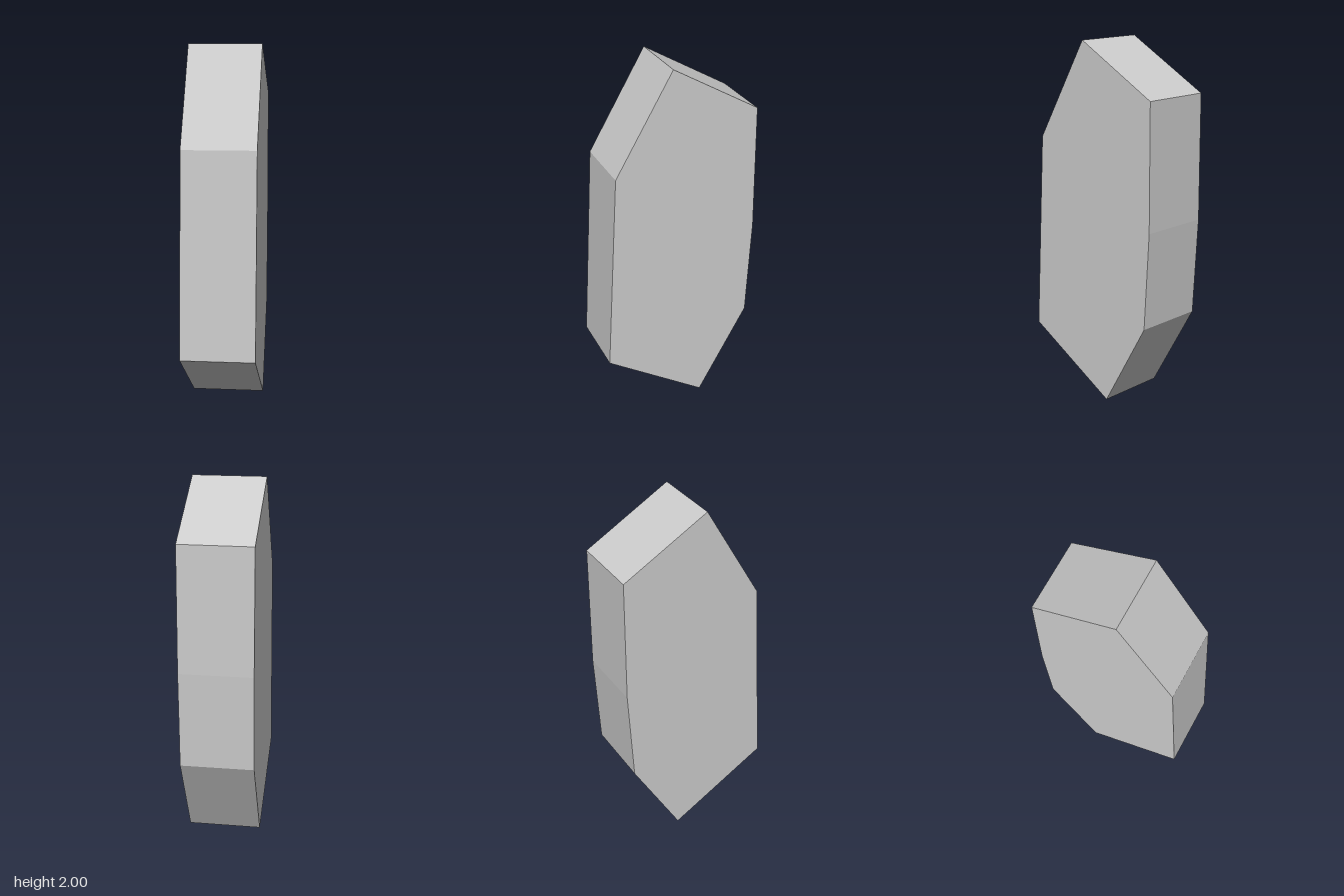
import * as THREE from 'three';

export function createModel() {
  const group = new THREE.Group();
  const width = 0.406;

  // side profile as (z, y) corners, from the front lower corner upward
  const profile = [
    [0.433, 0.325], [0.372, 1.445], [0.05, 2], [-0.433, 1.725],
    [-0.433, 1.03], [-0.402, 0.49], [-0.122, 0],
  ].map(([z, y]) => new THREE.Vector2(z, y));

  // extrude the profile across the width, then turn it to face +z
  const geometry = new THREE.ExtrudeGeometry(new THREE.Shape(profile), {
    depth: width,
    bevelEnabled: false,
  });
  geometry.translate(0, 0, -width / 2);
  geometry.rotateY(-Math.PI / 2);

  const material = new THREE.MeshStandardMaterial({ color: 0xcccccc, flatShading: true });
  const slab = new THREE.Mesh(geometry, material);
  slab.name = 'facetedSlab';
  group.add(slab);
  return group;
}
